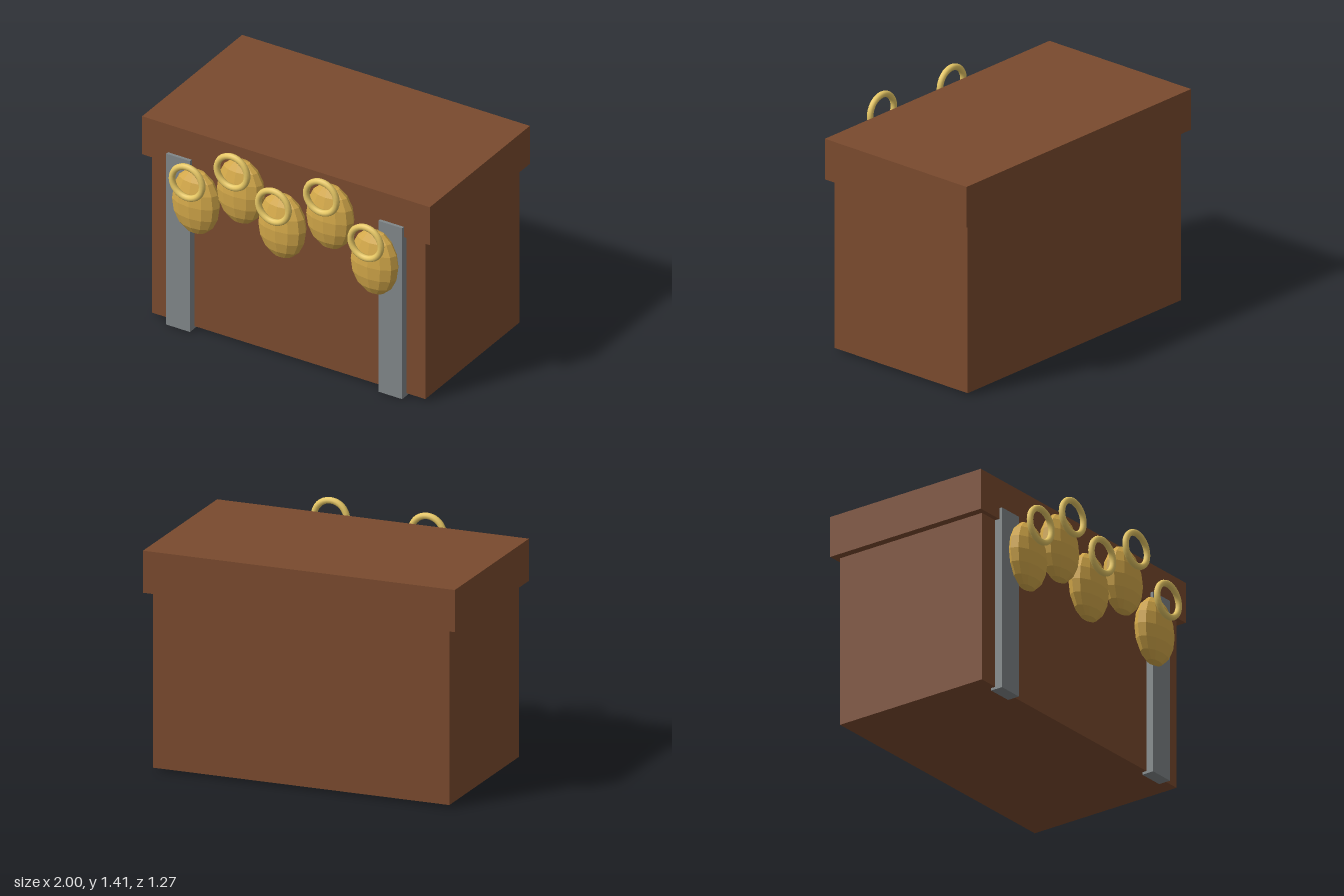
import * as THREE from 'three';

export function createModel() {
  const model = new THREE.Group();
  model.name = 'chest';

  const material = (color, flatShading = false) => new THREE.MeshStandardMaterial({ color, flatShading });
  const wood = material(0x7a4a2e);
  const iron = material(0x808688);
  const gold = material(0xd4a94a, true);
  const brightGold = material(0xe6c765);

  // Box given by its lower and upper corners
  function addBox(name, [x0, y0, z0], [x1, y1, z1], mat) {
    const mesh = new THREE.Mesh(new THREE.BoxGeometry(x1 - x0, y1 - y0, z1 - z0), mat);
    mesh.position.set((x0 + x1) / 2, (y0 + y1) / 2, (z0 + z1) / 2);
    mesh.name = name;
    model.add(mesh);
  }

  // Chest body and overhanging lid
  addBox('body', [-0.95, 0.016, -0.6], [0.95, 1.1, 0.45], wood);
  addBox('lid', [-1, 1.1, -0.635], [1, 1.36, 0.48], wood);

  // Metal straps down the front
  addBox('rightStrap', [-0.82, 0, 0.42], [-0.655, 1.17, 0.5], iron);
  addBox('leftStrap', [0.655, 0, 0.42], [0.82, 1.17, 0.5], iron);

  // Faceted oval pendants, each with a ring in front of its top
  const pendantGeometry = new THREE.SphereGeometry(1, 12, 8).scale(0.163, 0.218, 0.085);
  const ringGeometry = new THREE.TorusGeometry(0.105, 0.02, 10, 32);
  const places = [[-0.6, 0.924], [-0.288, 1.092], [0, 0.946], [0.333, 1.113], [0.642, 0.898]];
  for (const [x, y] of places) {
    const pendant = new THREE.Group();
    pendant.name = 'pendant';
    pendant.position.set(x, y, 0.52);
    const drop = new THREE.Mesh(pendantGeometry, gold);
    drop.name = 'pendantDrop';
    const ring = new THREE.Mesh(ringGeometry, brightGold);
    ring.name = 'pendantRing';
    ring.position.set(0, 0.177, 0.1);
    pendant.add(drop, ring);
    model.add(pendant);
  }
  return model;
}
